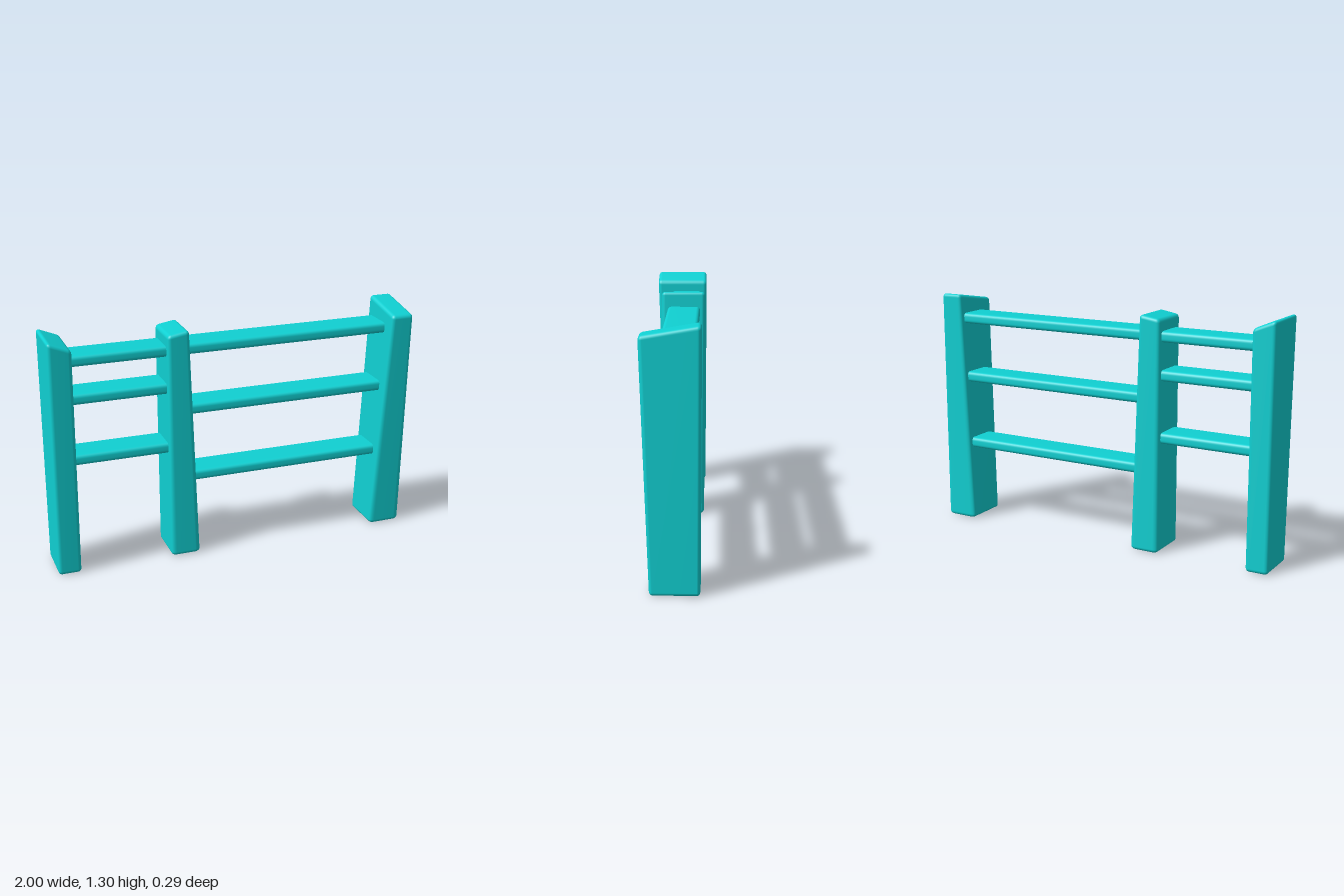
import * as THREE from 'three';
import { mergeVertices } from 'three/addons/utils/BufferGeometryUtils.js';
import { RoundedBoxGeometry } from 'three/addons/geometries/RoundedBoxGeometry.js';

const paint = new THREE.MeshStandardMaterial({ color: 0x10d0d2 });

// Rounded box between two corners, with its vertices moved by an optional rule and smooth bevels.
function roundedBlock(name, min, max, radius, rule) {
  const size = max.map((v, i) => v - min[i]);
  let geometry = new RoundedBoxGeometry(...size, 3, radius);
  geometry.translate(...min.map((v, i) => v + size[i] / 2));
  geometry.deleteAttribute('uv');
  geometry.deleteAttribute('normal');
  geometry = mergeVertices(geometry, 1e-5);
  if (rule) {
    const p = geometry.attributes.position;
    for (let i = 0; i < p.count; i++) {
      const u = [p.getX(i), p.getY(i), p.getZ(i)].map((v, k) => (v - min[k]) / size[k]);
      const [dx, dy, dz] = rule(...u);
      p.setXYZ(i, p.getX(i) + dx, p.getY(i) + dy, p.getZ(i) + dz);
    }
  }
  geometry.computeVertexNormals();
  const mesh = new THREE.Mesh(geometry, paint);
  mesh.name = name;
  return mesh;
}

export function createModel() {
  const fence = new THREE.Group();
  fence.name = 'fence';

  // Posts: u, v, w run 0..1 across x, y, z; tops are cut at a slant, sides lean with height.
  fence.add(
    roundedBlock('rightPost', [-1, 0, -0.145], [-0.877, 1.25, 0.145], 0.02,
      (u, v, w) => [0, v * 0.05 * (1 - u), -(1 - v) * w * 0.045]),
    roundedBlock('middlePost', [-0.372, 0, -0.145], [-0.255, 1.255, 0.095], 0.02,
      (u, v) => [(1 - v) * u * 0.045, v * 0.02 * u, 0]),
    roundedBlock('leftPost', [0.876, 0, -0.145], [1, 1.25, 0.145], 0.02,
      (u, v, w) => [-(1 - v) * (1 - u) * 0.058, v * 0.05 * (1 - w), -(1 - v) * w * 0.045])
  );

  // Rails: three short on one side, three long on the other, ends buried in the posts.
  const addRails = (name, x0, x1, heights) => heights.forEach((y, i) =>
    fence.add(roundedBlock(`${name}${i + 1}`, [x0, y - 0.029, -0.117], [x1, y + 0.029, 0.062], 0.02)));
  addRails('shortRail', -0.93, -0.31, [1.163, 0.96, 0.628]);
  addRails('longRail', -0.32, 0.93, [1.163, 0.83, 0.447]);

  return fence;
}
